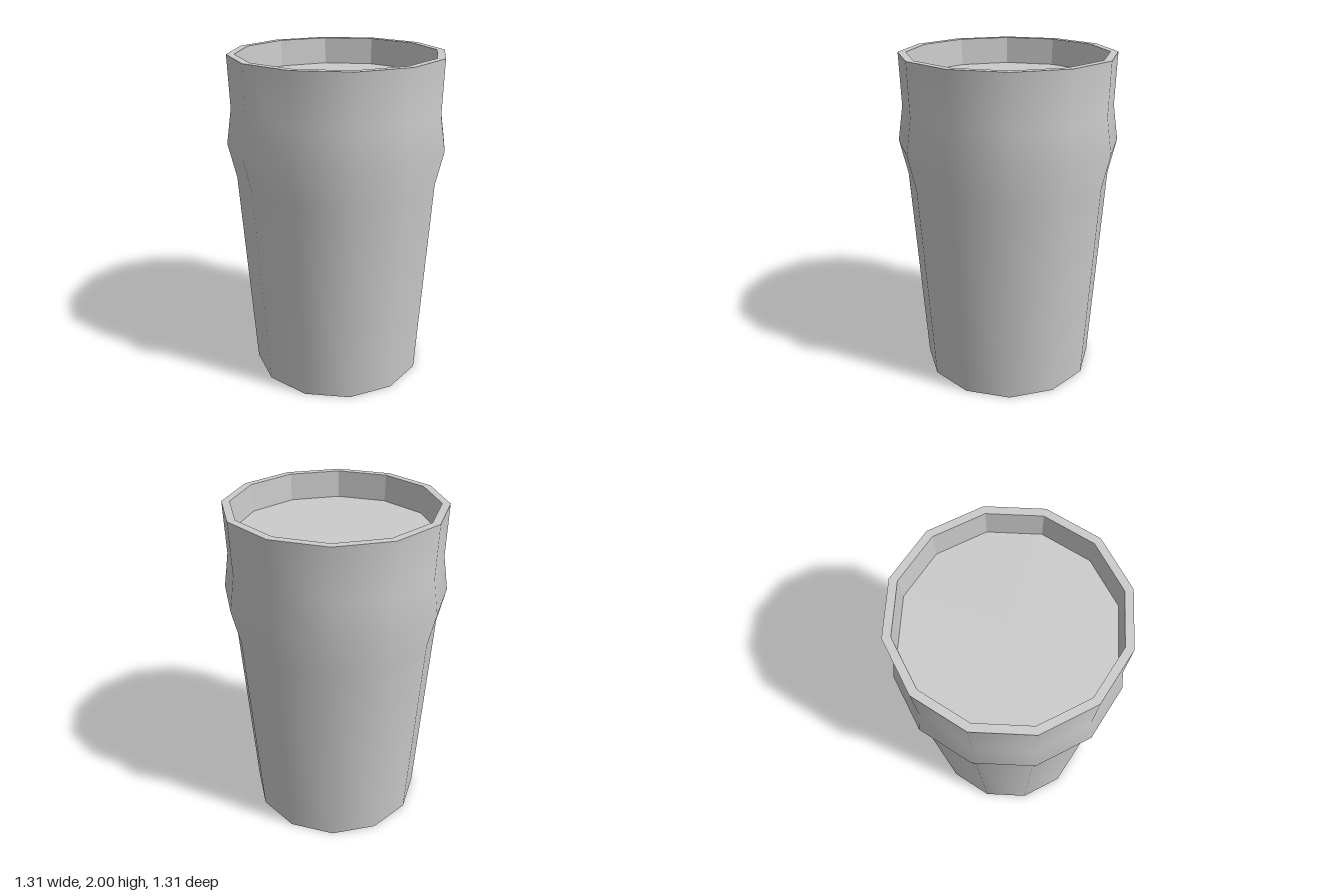
import * as THREE from 'three';

const SIDES = 12;

function lathe(points) {
  return new THREE.LatheGeometry(points.map(([r, y]) => new THREE.Vector2(r, y)), SIDES);
}

export function createModel() {
  const group = new THREE.Group();
  const smooth = new THREE.MeshStandardMaterial({ color: 0xcccccc });
  const flat = new THREE.MeshStandardMaterial({ color: 0xcccccc, flatShading: true });

  function add(name, geometry, material) {
    const mesh = new THREE.Mesh(geometry, material);
    mesh.name = name;
    group.add(mesh);
    return mesh;
  }

  // Tapered outer wall with the bulge below the rim
  add('outerWall', lathe([[0.535, 0], [0.61, 1.27], [0.657, 1.48], [0.625, 1.69], [0.633, 2]]), smooth);

  // Flat rim and the faceted inner wall down to the drink
  add('rim', lathe([[0.633, 2], [0.587, 2]]), flat);
  add('innerWall', lathe([[0.587, 2], [0.579, 1.84]]), flat);

  // Drink surface
  const drink = add('drinkSurface', new THREE.CircleGeometry(0.579, SIDES), flat);
  drink.rotation.x = -Math.PI / 2;
  drink.position.y = 1.84;

  // Underside
  const base = add('base', new THREE.CircleGeometry(0.535, SIDES), flat);
  base.rotation.x = Math.PI / 2;

  return group;
}
